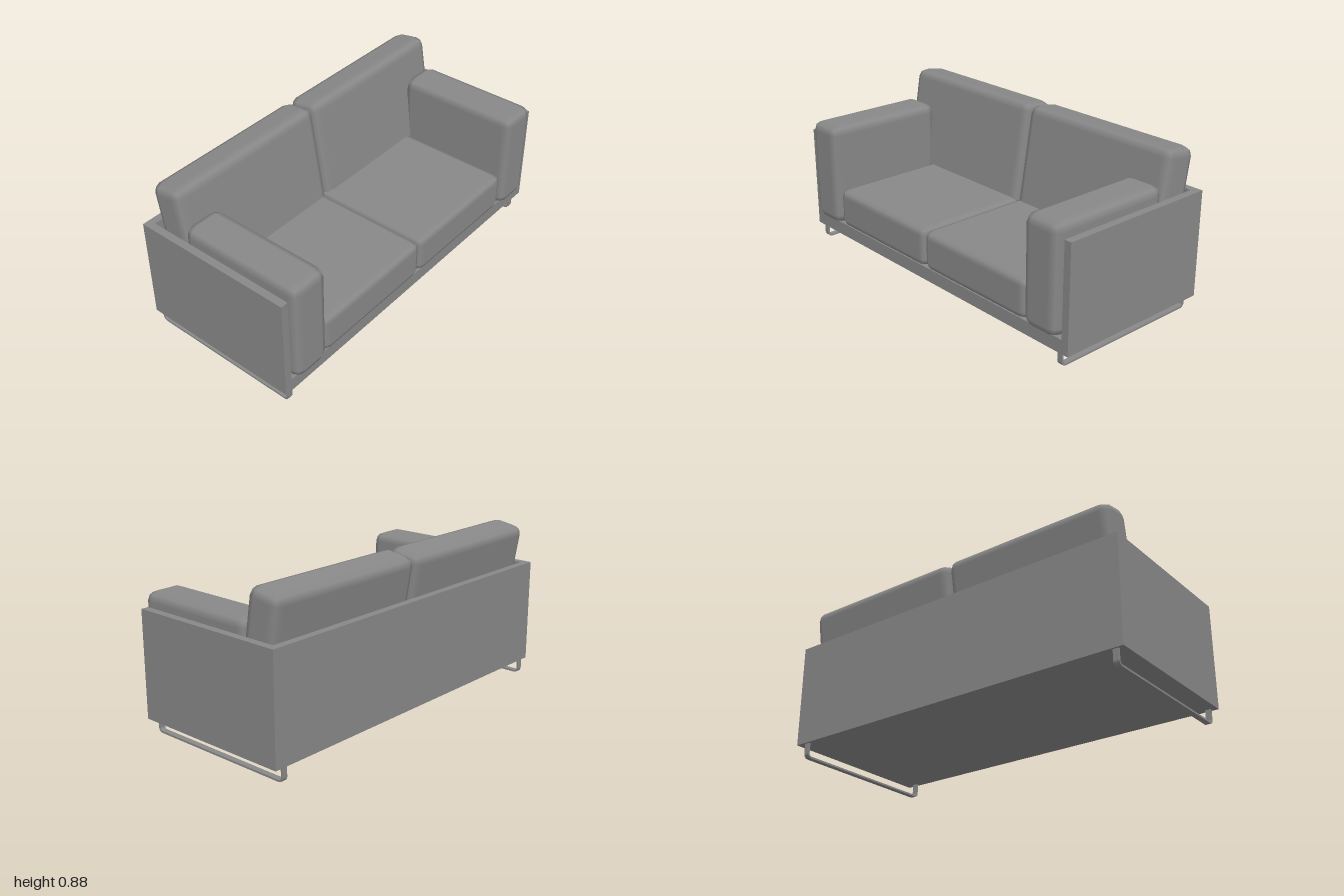
import * as THREE from 'three';
import { RoundedBoxGeometry } from 'three/addons/geometries/RoundedBoxGeometry.js';

const material = new THREE.MeshStandardMaterial({ color: 0x888888 });

export function createModel() {
  const sofa = new THREE.Group();
  sofa.name = 'sofa';

  const add = (name, geometry, x, y, z) => {
    const mesh = new THREE.Mesh(geometry, material);
    mesh.name = name;
    mesh.position.set(x, y, z);
    sofa.add(mesh);
    return mesh;
  };

  // Box or cushion given by its [min, max] extent on each axis
  const block = (name, [x0, x1], [y0, y1], [z0, z1], radius = 0) => {
    const size = [x1 - x0, y1 - y0, z1 - z0];
    const geometry = radius
      ? new RoundedBoxGeometry(...size, 1, radius)
      : new THREE.BoxGeometry(...size);
    return add(name, geometry, (x0 + x1) / 2, (y0 + y1) / 2, (z0 + z1) / 2);
  };

  // Frame: floor, back panel and two side panels
  block('base', [-0.96, 0.96], [0.08, 0.152], [-0.425, 0.425]);
  block('backPanel', [-0.96, 0.96], [0.08, 0.642], [-0.465, -0.425]);
  block('leftPanel', [0.96, 1], [0.08, 0.642], [-0.465, 0.425]);
  block('rightPanel', [-1, -0.96], [0.08, 0.642], [-0.465, 0.425]);

  // Runner leg: a flat bar bent into a U, drawn in the side plane
  const outline = (path, a, b, bottom, top, r) => {
    path.moveTo(a, top);
    path.lineTo(a, bottom + r);
    path.absarc(a + r, bottom + r, r, Math.PI, Math.PI * 1.5, false);
    path.absarc(b - r, bottom + r, r, Math.PI * 1.5, Math.PI * 2, false);
    path.lineTo(b, top);
    return path;
  };
  const outer = outline(new THREE.Path(), -0.455, 0.408, 0, 0.082, 0.026).getPoints(4);
  const inner = outline(new THREE.Path(), -0.445, 0.398, 0.01, 0.082, 0.016).getPoints(4);
  const legGeometry = new THREE.ExtrudeGeometry(
    new THREE.Shape([...outer, ...inner.reverse()]),
    { depth: 0.03, bevelEnabled: false }
  );
  legGeometry.translate(0, 0, -0.015).rotateY(-Math.PI / 2);
  add('leftLeg', legGeometry, 0.935, 0, 0);
  add('rightLeg', legGeometry, -0.955, 0, 0);

  for (const side of [1, -1]) {
    const label = side > 0 ? 'left' : 'right';
    const span = (a, b) => (side > 0 ? [a, b] : [-b, -a]);

    // Arm and seat cushions
    block(label + 'ArmCushion', span(0.737, 0.953), [0.152, 0.716], [-0.235, 0.465], 0.05);
    block(label + 'SeatCushion', span(0, 0.737), [0.154, 0.367], [-0.42, 0.446], 0.04);

    // Back cushion, leaning backwards and sunk into the seat
    const back = add(label + 'BackCushion',
      new RoundedBoxGeometry(0.95, 0.58, 0.19, 1, 0.05),
      side > 0 ? 0.483 : -0.468, 0.583, -0.311);
    back.rotation.x = -0.165;
  }

  return sofa;
}
